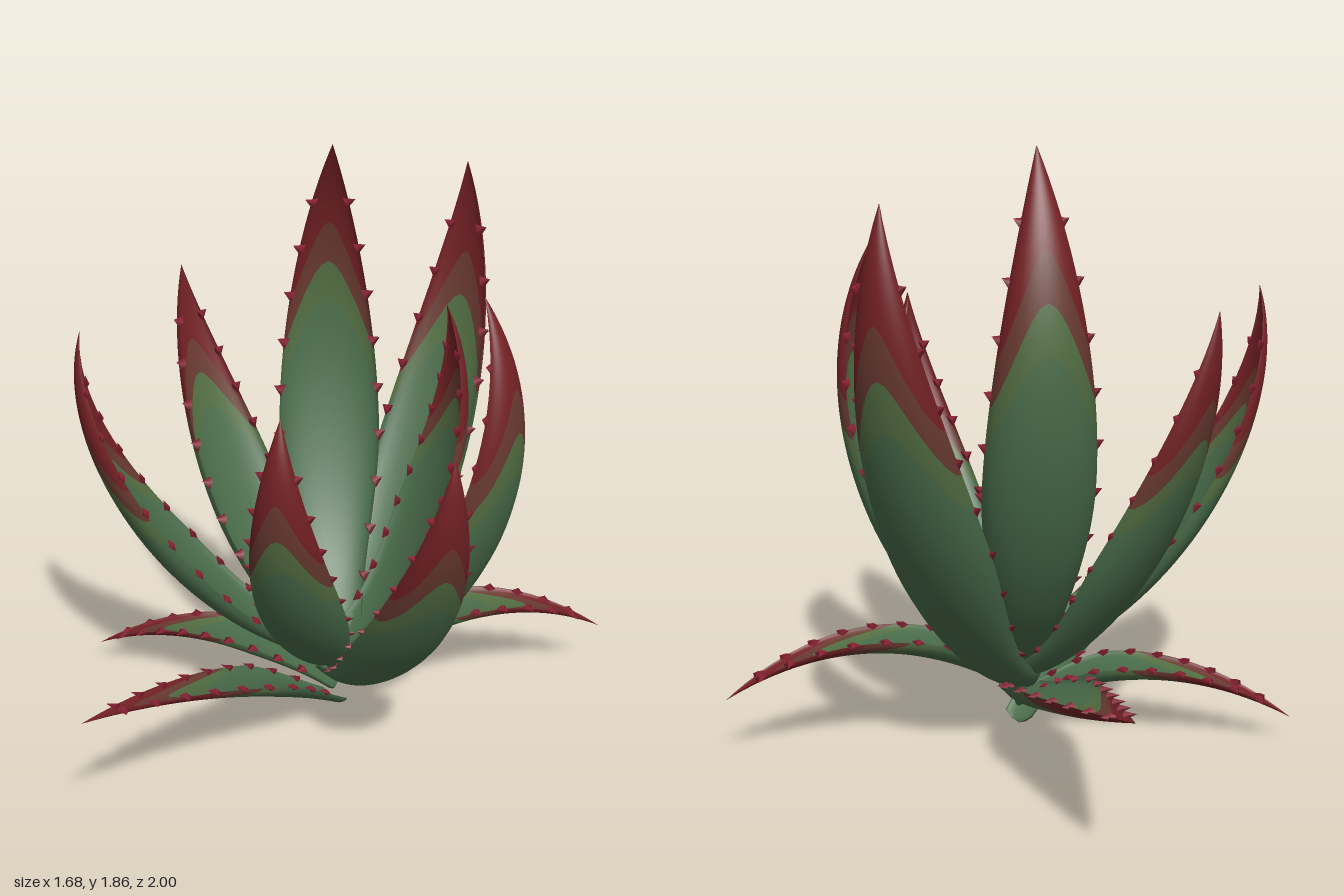
import * as THREE from 'three';
import { mergeGeometries } from 'three/addons/utils/BufferGeometryUtils.js';

const mat = (name, color) => {
  const m = new THREE.MeshStandardMaterial({ color });
  m.name = name;
  return m;
};

const COLS = 16;
const BAND_ROWS = [24, 5, 6, 12]; // rows in the green, olive, brown and red bands
const ROOT_X = 0.07, ROOT_Z = -0.13;

// Rising leaf: sweeps out, then curls up; bow sets how far it bulges past its tip
const risingKeel = (reach, root, top, bow) => new THREE.CubicBezierCurve(
  new THREE.Vector2(0, root),
  new THREE.Vector2(reach * bow * 0.36, THREE.MathUtils.lerp(root, top, 0.11)),
  new THREE.Vector2(reach * bow * 0.66, THREE.MathUtils.lerp(root, top, 0.65)),
  new THREE.Vector2(reach, top));

// Low leaf: runs outward; bow lifts the middle into an arch
const lowKeel = (reach, root, top, bow) => new THREE.CubicBezierCurve(
  new THREE.Vector2(0, root),
  new THREE.Vector2(reach / 3, THREE.MathUtils.lerp(root, top, 1 / 3) + bow),
  new THREE.Vector2(reach / 1.5, THREE.MathUtils.lerp(root, top, 2 / 3) + bow),
  new THREE.Vector2(reach, top));

// bands: where each colour ends along the leaf, [at the centre line, at the margin]
const RISING = { keel: risingKeel, widest: 0.43, taper: 1.85, cup: 0.68,
  bands: [[0.67, 0.52], [0.75, 0.58], [0.83, 0.66]] };
const LOW = { keel: lowKeel, widest: 0.34, taper: 1.25, cup: 0.58,
  bands: [[0.57, 0.36], [0.71, 0.44], [0.83, 0.56]] };

// Each leaf: name, type, tip position, root height, width, bow
const LEAVES = [
  ['frontLowLeaf', LOW, [0.02, 0.475, 1], 0, 0.2, 0.085],
  ['backRightLowLeaf', LOW, [-0.84, 0.46, -1], 0.1, 0.26, -0.03],
  ['backLeftLowLeaf', LOW, [0.66, 0.19, -0.86], 0.1, 0.23, 0.2],
  ['rightLowLeaf', LOW, [-0.74, 0.075, 0.19], 0.06, 0.21, 0.15],
  ['backLeaf', RISING, [0, 1.72, -0.91], 0.12, 0.34, 1.88],
  ['tallInnerLeaf', RISING, [-0.16, 1.86, -0.38], 0.2, 0.34, 3.45],
  ['shortInnerLeaf', RISING, [0.25, 1.4, -0.45], 0.2, 0.27, 2.4],
  ['leftLeaf', RISING, [0.57, 1.58, -0.17], 0.15, 0.31, 2.6],
  ['frontLeftOuterLeaf', RISING, [0.82, 1.31, 0.32], 0.12, 0.29, 1.71],
  ['frontLeftLeaf', RISING, [0.34, 1.35, 0.48], 0.18, 0.28, 1.97],
  ['frontRightLeaf', RISING, [-0.48, 1.4, 0.45], 0.18, 0.29, 1.77],
  ['rightLeaf', RISING, [-0.66, 1.4, -0.2], 0.15, 0.3, 1.6],
];

// Gives the local frame and half width of a leaf at t (0 root, 1 tip)
function leafFrame(type, [x, y, z], root, width, bow) {
  const up = new THREE.Vector3(0, 1, 0);
  const out = new THREE.Vector3(x - ROOT_X, 0, z - ROOT_Z);
  const curve = type.keel(out.length(), root, y, bow);
  out.normalize();
  const across = out.clone().cross(up);
  return t => {
    const p = curve.getPointAt(t), g = curve.getTangentAt(t);
    const swell = 0.52 + 0.48 * THREE.MathUtils.smoothstep(t, 0, type.widest);
    const s = Math.max(0, (t - type.widest) / (1 - type.widest));
    return {
      across,
      centre: new THREE.Vector3(ROOT_X, p.y, ROOT_Z).addScaledVector(out, p.x),
      along: out.clone().multiplyScalar(g.x).addScaledVector(up, g.y),
      normal: out.clone().multiplyScalar(-g.y).addScaledVector(up, g.x),
      half: (width / 2) * swell * (1 - s ** type.taper) * Math.min(1, t / 0.008),
    };
  };
}

// Point on the cupped cross-section; angle runs from margin to margin
function surfacePoint(f, angle, inner, cup) {
  const depth = 1 - (inner ? 0.5 : 1) * Math.cos(angle);
  return f.centre.clone()
    .addScaledVector(f.across, f.half * Math.sin(angle))
    .addScaledVector(f.normal, f.half * cup * depth);
}

// One side of a leaf, with rows bent to follow the arched colour bands
function leafSheet(frame, type, inner) {
  const positions = [], index = [], geo = new THREE.BufferGeometry();
  const rows = [[0, 0], [0, 0.012]];
  BAND_ROWS.forEach((n, band) => {
    for (let i = 1; i <= n; i++) rows.push([band, i / n]);
  });
  for (const [band, k] of rows) {
    for (let j = 0; j <= COLS; j++) {
      const angle = (j / COLS - 0.5) * Math.PI;
      const u2 = Math.sin(angle) ** 2;
      const ends = [0, ...type.bands.map(([c, m]) => c + (m - c) * u2), 1];
      const t = THREE.MathUtils.lerp(ends[band], ends[band + 1], k);
      positions.push(...surfacePoint(frame(t), angle, inner, type.cup).toArray());
    }
  }
  let start = 0;
  for (let row = 0; row < rows.length - 1; row++) {
    for (let j = 0; j < COLS; j++) {
      const a = row * (COLS + 1) + j, b = a + 1, d = a + COLS + 1, c = d + 1;
      if (inner) index.push(a, b, c, a, c, d);
      else index.push(a, c, b, a, d, c);
    }
    const [band, k] = rows[row + 1];
    if (k === 1) {
      geo.addGroup(start, index.length - start, band);
      start = index.length;
    }
  }
  geo.setAttribute('position', new THREE.Float32BufferAttribute(positions, 3));
  geo.setIndex(index);
  geo.computeVertexNormals();
  return geo;
}

// Small flat thorns along both margins, leaning toward the tip
function leafThorns(frame, type) {
  const parts = [], count = 9;
  for (const side of [-1, 1]) {
    for (let i = 0; i < count; i++) {
      const f = frame(0.14 + (0.74 * i) / (count - 1));
      const dir = f.across.clone().multiplyScalar(side).addScaledVector(f.along, 0.5).normalize();
      const p = surfacePoint(f, (side * Math.PI) / 2, true, type.cup);
      const place = new THREE.Matrix4().makeBasis(dir.clone().cross(f.normal), dir, f.normal).setPosition(p);
      const thorn = new THREE.ConeGeometry(0.022, 0.036, 4);
      parts.push(thorn.translate(0, 0.006, 0).scale(1, 1, 0.5).applyMatrix4(place));
    }
  }
  return mergeGeometries(parts);
}

export function createModel() {
  const bands = [
    mat('leafGreen', 0x4a6d4b), mat('oliveGreen', 0x536e43),
    mat('rustBrown', 0x693a31), mat('darkRed', 0x742125),
  ];
  const thornRed = mat('thornCrimson', 0x8a2234);
  const model = new THREE.Group();
  model.name = 'succulent';

  for (const [name, type, ...shape] of LEAVES) {
    const group = new THREE.Group();
    group.name = name;
    const frame = leafFrame(type, ...shape);
    const add = (part, geo, material) => {
      const mesh = new THREE.Mesh(geo, material);
      mesh.name = part;
      group.add(mesh);
    };
    add('innerFace', leafSheet(frame, type, true), bands);
    add('outerFace', leafSheet(frame, type, false), bands);
    add('marginThorns', leafThorns(frame, type), thornRed);
    model.add(group);
  }
  return model;
}
